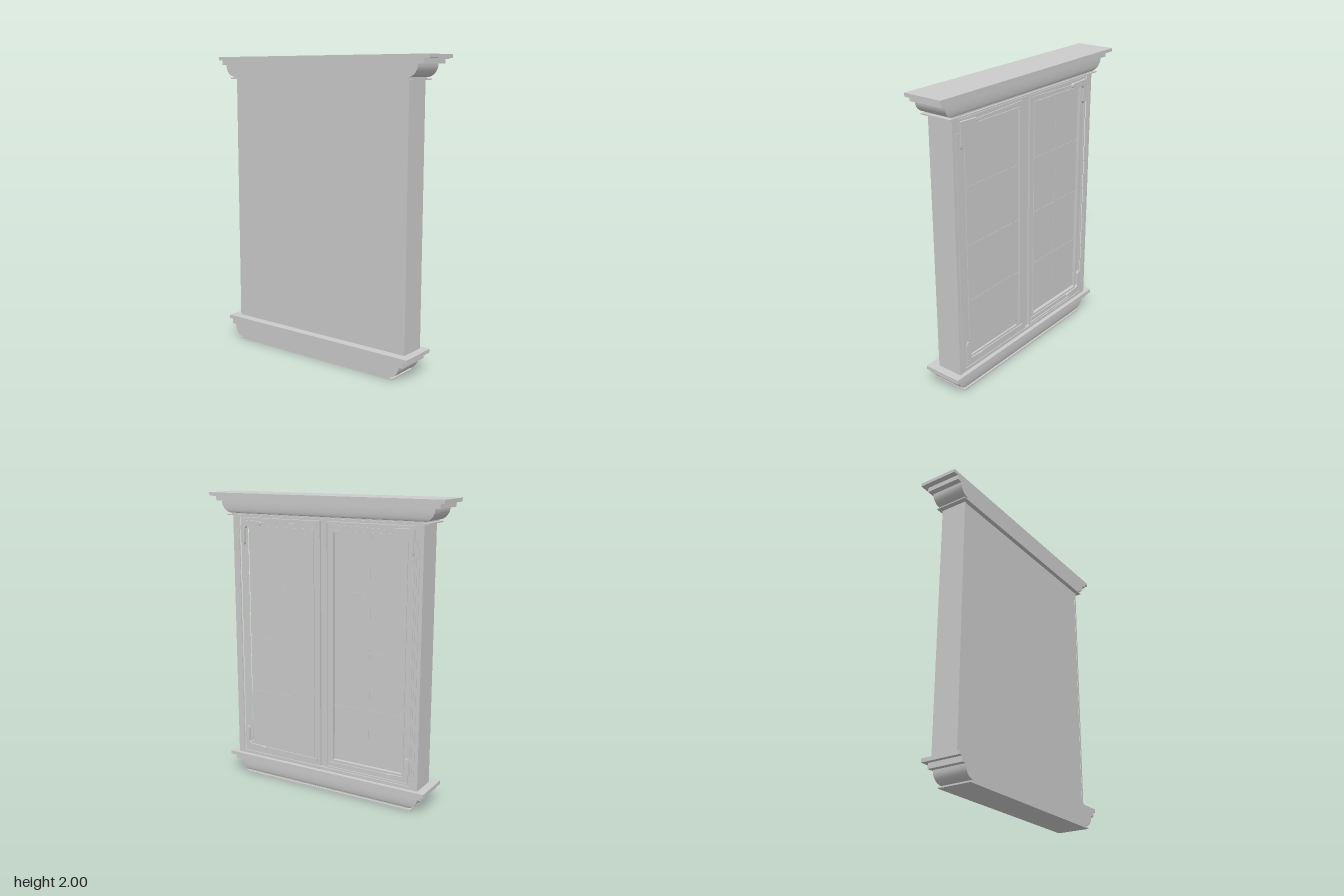
import * as THREE from 'three';
import { toCreasedNormals } from 'three/addons/utils/BufferGeometryUtils.js';

const grey = new THREE.MeshStandardMaterial({ color: 0xcccccc });

function add(parent, geometry, name) {
  const mesh = new THREE.Mesh(geometry, grey);
  mesh.name = name;
  parent.add(mesh);
  return mesh;
}

// Box given by its limits
function box(parent, name, x0, x1, y0, y1, z0, z1) {
  const m = add(parent, new THREE.BoxGeometry(x1 - x0, y1 - y0, Math.abs(z1 - z0)), name);
  m.position.set((x0 + x1) / 2, (y0 + y1) / 2, (z0 + z1) / 2);
  return m;
}

// Extrudes an outline of [z, y] points along x
function plate(parent, name, points, x0, x1, holes = []) {
  const vec = (list) => list.map(([z, y]) => new THREE.Vector2(-z, y));
  const shape = new THREE.Shape(vec(points));
  for (const h of holes) shape.holes.push(new THREE.Path(vec(h)));
  const g = new THREE.ExtrudeGeometry(shape, { depth: x1 - x0, bevelEnabled: false });
  g.rotateY(Math.PI / 2).translate(x0, 0, 0);
  return add(parent, g, name);
}

const rect = (z0, z1, y0, y1) => [[z0, y0], [z1, y0], [z1, y1], [z0, y1]];

// Moulding with a flat back: rows of [front x, half width, y], bottom to top
function moulding(parent, name, back, rows) {
  const pos = [];
  const index = [];
  for (const [x, w, y] of rows) pos.push(back, y, w, x, y, w, x, y, -w, back, y, -w);
  for (let r = 0; r < rows.length - 1; r++) {
    for (let k = 0; k < 4; k++) {
      const a = r * 4 + k, b = r * 4 + (k + 1) % 4;
      index.push(a, b, b + 4, a, b + 4, a + 4);
    }
  }
  const t = (rows.length - 1) * 4;
  index.push(0, 2, 1, 0, 3, 2, t, t + 1, t + 2, t, t + 2, t + 3);
  const g = new THREE.BufferGeometry();
  g.setAttribute('position', new THREE.Float32BufferAttribute(pos, 3));
  g.setIndex(index);
  return add(parent, toCreasedNormals(g, 0.5), name);
}

// Curved rows of a moulding between two ends, bulging outwards
function ovolo(x0, w0, y0, x1, w1, y1, steps = 8) {
  return Array.from({ length: steps + 1 }, (_, i) => {
    const a = (i / steps) * Math.PI / 2;
    const out = Math.sin(a), up = 1 - Math.cos(a);
    return [x0 + (x1 - x0) * out, w0 + (w1 - w0) * out, y0 + (y1 - y0) * up];
  });
}

export function createModel() {
  const model = new THREE.Group();
  model.name = 'window';

  // Cornice and sill
  moulding(model, 'cornice', -0.12, [
    [0.108, 0.738, 1.85], [0.108, 0.738, 1.858], [0.096, 0.71, 1.858],
    ...ovolo(0.096, 0.71, 1.866, 0.11, 0.78, 1.945),
    [0.123, 0.818, 1.945], [0.123, 0.818, 1.977], [0.15, 0.855, 1.977], [0.15, 0.855, 2],
  ]);
  moulding(model, 'sill', -0.155, [
    [0.075, 0.655, 0], [0.075, 0.655, 0.01], [0.063, 0.632, 0.01],
    ...ovolo(0.063, 0.632, 0.017, 0.077, 0.7, 0.095),
    [0.088, 0.732, 0.095], [0.088, 0.732, 0.13], [0.116, 0.76, 0.13], [0.116, 0.76, 0.154],
  ]);

  // Outer casing with the window opening, and the recessed back
  plate(model, 'casing', rect(-0.705, 0.705, 0.15, 1.855), -0.085, 0.088,
    [rect(-0.648, 0.648, 0.175, 1.84)]);
  plate(model, 'backRim', rect(-0.705, 0.705, 0.15, 1.855), -0.095, -0.085,
    [rect(-0.69, 0.69, 0.16, 1.85)]);
  box(model, 'backPanel', -0.09, -0.07, 0.155, 1.852, -0.695, 0.695);

  // Centre post
  box(model, 'centrePost', -0.07, 0.07, 0.175, 1.84, -0.022, 0.022);

  for (const s of [1, -1]) {
    const sash = new THREE.Group();
    sash.name = s > 0 ? 'leftSash' : 'rightSash';
    model.add(sash);

    // Raised strip on the casing
    plate(model, 'sideTrim', rect(s * 0.655, s * 0.68, 0.25, 1.76), 0.088, 0.092,
      [rect(s * 0.662, s * 0.673, 0.257, 1.753)]);

    // Sash frame with an inner stepped bead
    plate(sash, 'sashFrame', rect(s * 0.02, s * 0.645, 0.178, 1.837), 0.03, 0.078,
      [rect(s * 0.075, s * 0.59, 0.24, 1.775)]);
    plate(sash, 'glazingBead', rect(s * 0.068, s * 0.6, 0.232, 1.783), 0.03, 0.084,
      [rect(s * 0.078, s * 0.588, 0.245, 1.77)]);
    plate(sash, 'sashEdge', rect(s * 0.02, s * 0.645, 0.178, 1.837), 0.07, 0.086,
      [rect(s * 0.032, s * 0.633, 0.19, 1.825)]);

    // Glass and glazing bars
    box(sash, 'glass', 0.045, 0.06, 0.235, 1.78, s * 0.07, s * 0.595);
    for (let i = 1; i < 4; i++) {
      const y = 0.24 + i * 0.384;
      box(sash, 'glazingBar', 0.05, 0.062, y - 0.006, y + 0.006, s * 0.075, s * 0.59);
    }
    if (s < 0) box(sash, 'uprightBar', 0.05, 0.0615, 0.24, 1.775, s * 0.328, s * 0.337);

    // Tapered rail strip and corner bracket, bottom then top
    for (const top of [false, true]) {
      const at = (list) => list.map(([z, y]) => [s * z, top ? 2.015 - y : y]);
      plate(sash, 'railStrip', at([[0.05, 0.195], [0.6, 0.212], [0.6, 0.228], [0.05, 0.223]]), 0.07, 0.085);
      plate(sash, 'cornerBracket', at([
        [0.64, 0.195], [0.64, 0.345], [0.632, 0.36], [0.618, 0.36], [0.61, 0.345],
        [0.61, 0.25], [0.595, 0.235], [0.49, 0.228], [0.475, 0.22], [0.475, 0.208], [0.49, 0.2],
      ]), 0.074, 0.094);
      for (const [z, y] of at([[0.625, 0.335], [0.625, 0.225], [0.5, 0.214]])) {
        const screw = add(sash, new THREE.CylinderGeometry(0.005, 0.005, 0.004, 10), 'screw');
        screw.rotation.z = -Math.PI / 2;
        screw.position.set(0.0945, y, z);
      }
    }
  }
  model.position.x = 0.0025;
  return model;
}
